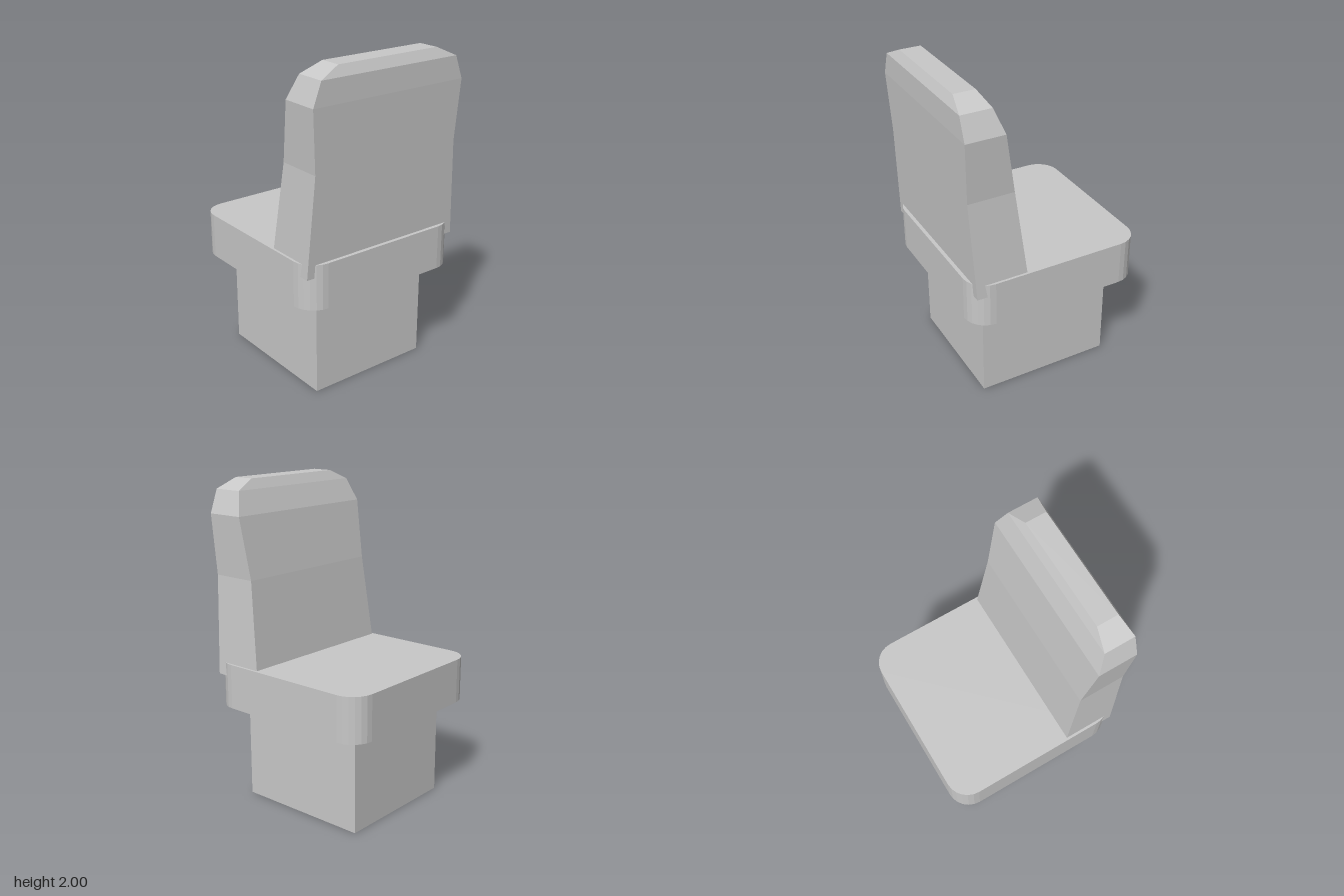
import * as THREE from 'three';

const grey = new THREE.MeshStandardMaterial({ color: 0xc8c8c8, flatShading: true });
grey.name = 'light grey';

function part(name, geometry, x = 0, y = 0, z = 0) {
  const mesh = new THREE.Mesh(geometry, grey);
  mesh.name = name;
  mesh.position.set(x, y, z);
  return mesh;
}

// Rectangle outline with rounded corners, three facets per corner
function roundedRect(w, h, r) {
  const x = w / 2 - r, y = h / 2 - r, q = Math.PI / 2;
  const shape = new THREE.Shape();
  [[x, y], [-x, y], [-x, -y], [x, -y]].forEach(([cx, cy], i) =>
    shape.absarc(cx, cy, r, i * q, (i + 1) * q, false));
  shape.closePath();
  return shape;
}

// Joins rectangular sections [y, halfWidth, zInner, zOuter], bottom to top
function loft(rows) {
  const rings = rows.map(([y, w, zi, zo]) =>
    [[-w, y, zo], [w, y, zo], [w, y, zi], [-w, y, zi]]);
  const pos = [];
  const quad = (a, b, c, d) => pos.push(...a, ...b, ...c, ...a, ...c, ...d);
  for (let i = 0; i < rings.length - 1; i++) {
    for (let j = 0; j < 4; j++) {
      const k = (j + 1) % 4;
      quad(rings[i][j], rings[i][k], rings[i + 1][k], rings[i + 1][j]);
    }
  }
  quad(...rings[rings.length - 1]);
  quad(...[...rings[0]].reverse());
  const g = new THREE.BufferGeometry();
  g.setAttribute('position', new THREE.Float32BufferAttribute(pos, 3));
  g.computeVertexNormals();
  return g;
}

export function createModel() {
  const chair = new THREE.Group();
  chair.name = 'chair';

  // Square pedestal
  chair.add(part('pedestal', new THREE.BoxGeometry(0.81, 0.62, 0.86), -0.003, 0.31, -0.005));

  // Thick seat cushion with rounded corners
  const seat = new THREE.ExtrudeGeometry(roundedRect(1.12, 1.125, 0.14),
    { depth: 0.28, bevelEnabled: false, curveSegments: 3 });
  seat.rotateX(-Math.PI / 2);
  chair.add(part('seat', seat, 0, 0.62, -0.008));

  // Tapered backrest with a slight waist and chamfered top
  chair.add(part('backrest', loft([
    [0.82, 0.55, 0.195, 0.528],
    [1.43, 0.51, 0.268, 0.555],
    [1.80, 0.533, 0.33, 0.57],
    [1.94, 0.48, 0.38, 0.57],
    [2.00, 0.35, 0.41, 0.542],
  ])));

  return chair;
}
